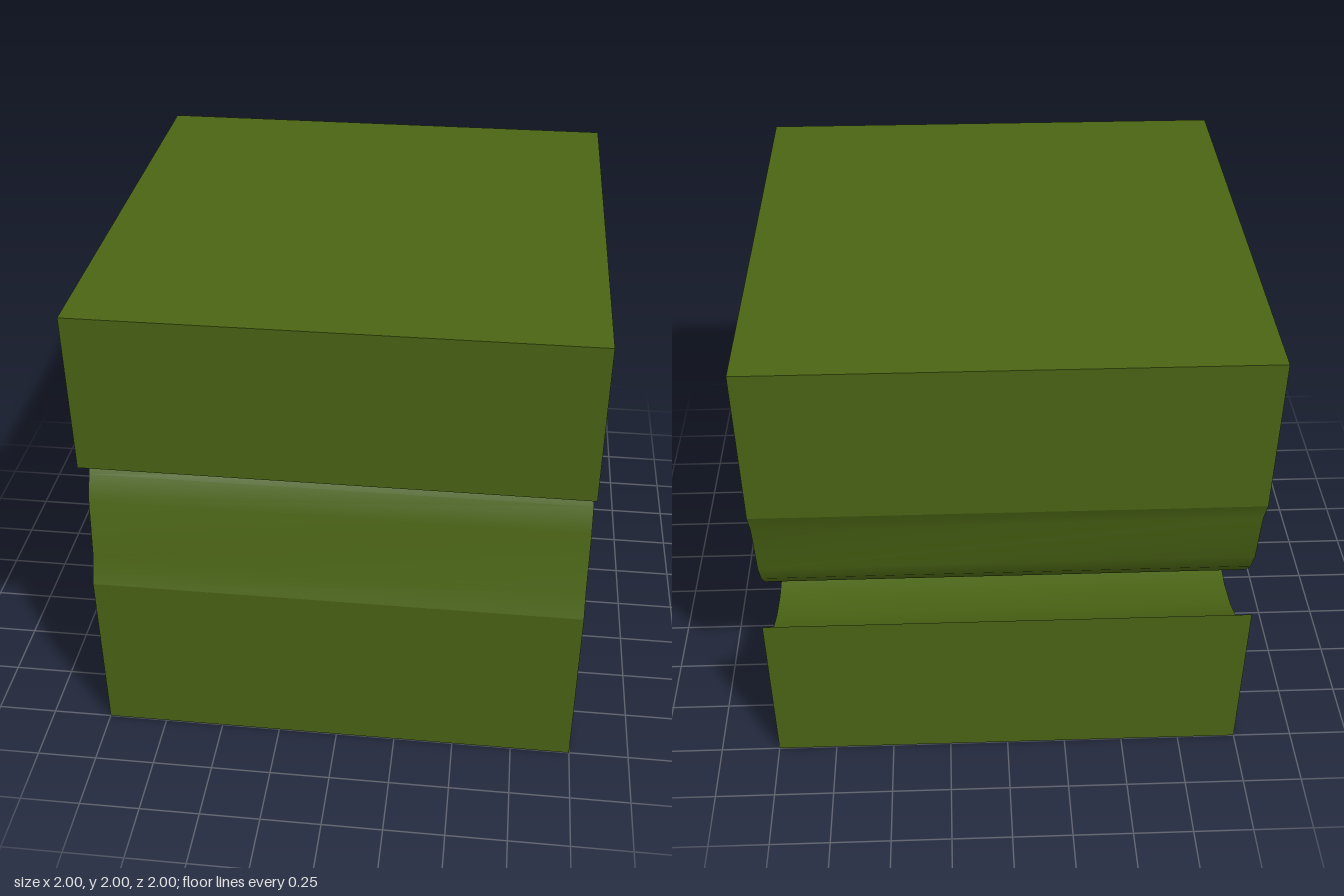
import * as THREE from 'three';
import { toCreasedNormals } from 'three/addons/utils/BufferGeometryUtils.js';

const material = new THREE.MeshStandardMaterial({ color: 0x4a6414 });

// Half arcs of each wave, as [u, y] with u = -z, from the end face inwards
const lowerCrest = [[-1, 0.75], [-0.957, 0.855], [-0.922, 1.12], [-0.88, 1.22], [-0.81, 1.31],
  [-0.715, 1.38], [-0.61, 1.425], [-0.5, 1.44]];
const lowerTrough = [[0.01, 0.72], [0.1, 0.605], [0.22, 0.51], [0.355, 0.46], [0.5, 0.44]];
const upperCrest = [[-0.989, 1.355], [-0.904, 1.46], [-0.786, 1.54], [-0.642, 1.59], [-0.5, 1.607]];
const upperTrough = [[0.045, 1.235], [0.078, 1], [0.123, 0.905], [0.193, 0.82], [0.283, 0.76],
  [0.39, 0.72], [0.5, 0.71]];

// Completes an arc by mirroring it about u = centre
function mirrorArc(half, centre) {
  const other = half.slice(0, -1).reverse().map(([u, y]) => [2 * centre - u, y]);
  return [...half, ...other];
}

// Closes a wave against a flat face at height y and extrudes it across the width
function waveBlock(name, wave, y) {
  const outline = [...wave, [1, y], [-1, y]].map(([u, v]) => new THREE.Vector2(u, v));
  const extruded = new THREE.ExtrudeGeometry(new THREE.Shape(outline), { depth: 2, bevelEnabled: false });
  extruded.translate(0, 0, -1).rotateY(Math.PI / 2);
  const mesh = new THREE.Mesh(toCreasedNormals(extruded, THREE.MathUtils.degToRad(20)), material);
  mesh.name = name;
  return mesh;
}

export function createModel() {
  const group = new THREE.Group();
  group.name = 'splitWaveBlock';

  // The crest's inner foot runs straight into the trough
  const crest = mirrorArc(lowerCrest, -0.5).slice(0, -1);
  const lowerWave = [...crest, ...mirrorArc(lowerTrough, 0.5), [1, 0.75]];
  const upperWave = [[-1, 1.335], ...mirrorArc(upperCrest, -0.5), ...mirrorArc(upperTrough, 0.5), [1, 1.335]];

  group.add(waveBlock('lowerBlock', lowerWave, 0), waveBlock('upperBlock', upperWave, 2));
  return group;
}
